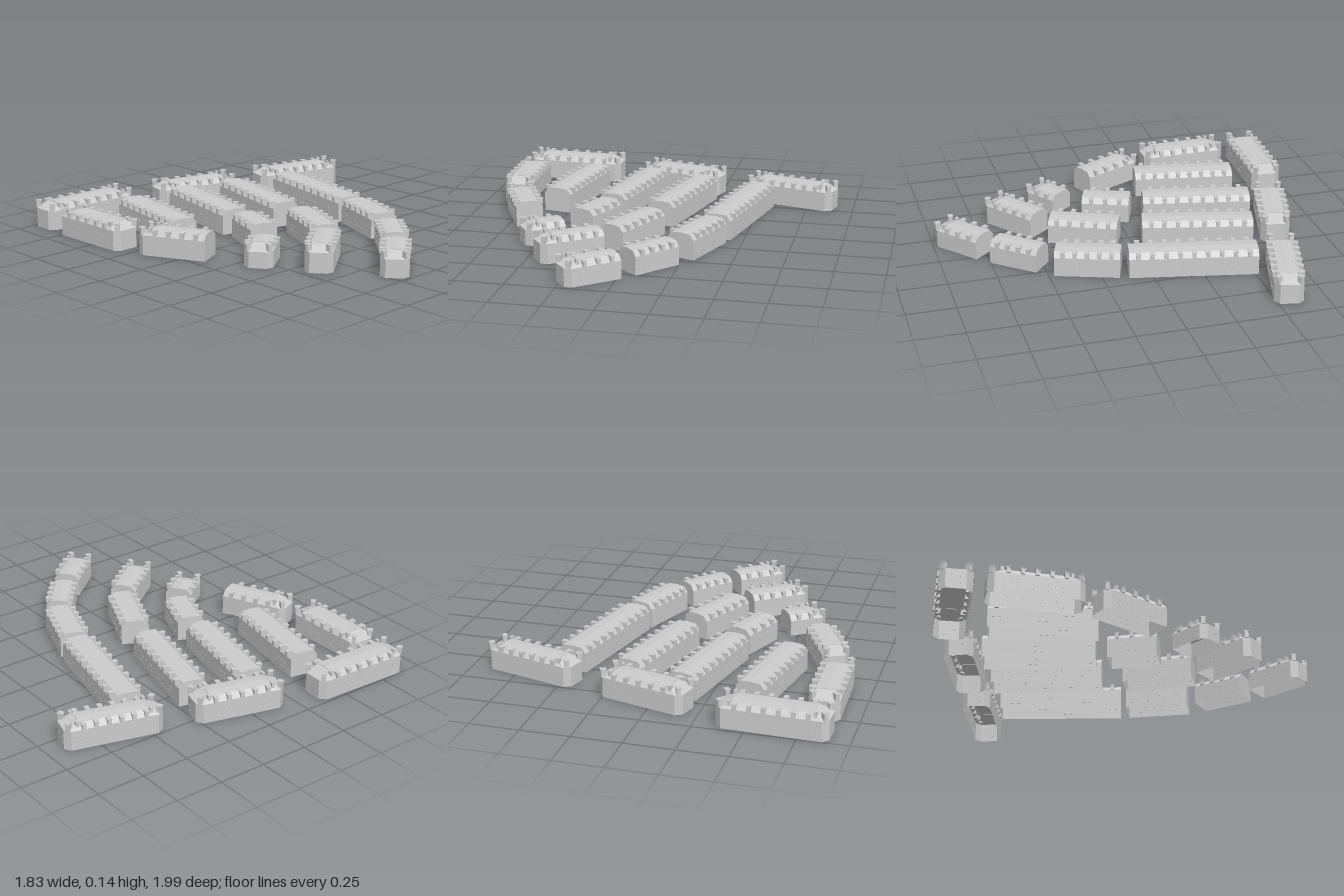
import * as THREE from 'three';
import { mergeGeometries } from 'three/addons/utils/BufferGeometryUtils.js';

// [x1, z1, x2, z2, hipped start, hipped end, half width, wall height]
const BLOCKS = [
  [-0.90, -0.92, -0.36, -0.90, 1, 1, 0.08, 0.102],
  [-0.83, -0.775, -0.82, -0.31, 1, 1, 0.077, 0.102],
  [-0.79, -0.235, -0.635, 0.09, 1, 0, 0.07, 0.102],
  [-0.59, 0.38, -0.42, 0.26, 1, 0, 0.072, 0.082],
  [-0.44, 0.64, -0.175, 0.44, 1, 0, 0.07, 0.102],
  [-0.24, 0.945, -0.02, 0.76, 1, 0, 0.07, 0.092],
  [0.20, 0.51, 0.03, 0.71, 0, 0, 0.067, 0.092],
  [0.35, 0.14, 0.24, 0.45, 0, 0, 0.074, 0.1],
  [0.495, -0.53, 0.36, 0.105, 0, 0, 0.077, 0.1],
  [0.17, -0.62, 0.035, -0.06, 0, 0, 0.074, 0.1],
  [0.02, 0.06, -0.125, 0.39, 0, 0, 0.073, 0.1],
  [-0.125, -0.705, -0.245, -0.145, 0, 0, 0.076, 0.1],
  [-0.245, -0.075, -0.335, 0.16, 0, 0, 0.072, 0.1],
  [-0.465, -0.72, -0.56, -0.19, 0, 0, 0.076, 0.1],
  [-0.195, -0.84, 0.255, -0.72, 1, 1, 0.075, 0.102],
  [0.42, -0.68, 0.90, -0.55, 1, 1, 0.073, 0.102],
];

const material = new THREE.MeshStandardMaterial({ color: 0xcccccc, flatShading: true, side: THREE.DoubleSide });

// Footprint outline in (along, across), canted at hipped ends
function footprint(half, hw, hipA, hipB) {
  const end = (hip) => (hip ? [[half - 0.03, hw], [half, hw * 0.62], [half, -hw * 0.62], [half - 0.03, -hw]] : [[half, hw], [half, -hw]]);
  const right = end(hipB);
  const left = end(hipA).map(([x, z]) => [-x, -z]);
  return [...right, ...left];
}

// Skin stacked rings of equal point count, dropping collapsed triangles
function skin(rings) {
  const pos = [];
  const tri = (a, b, c) => {
    const n = b.clone().sub(a).cross(c.clone().sub(a));
    if (n.length() > 1e-8) [a, b, c].forEach((p) => pos.push(p.x, p.y, p.z));
  };
  for (let r = 0; r < rings.length - 1; r++) {
    const lo = rings[r], hi = rings[r + 1];
    lo.forEach((a, i) => {
      const j = (i + 1) % lo.length;
      tri(a, lo[j], hi[j]);
      tri(a, hi[j], hi[i]);
    });
  }
  const g = new THREE.BufferGeometry();
  g.setAttribute('position', new THREE.Float32BufferAttribute(pos, 3));
  g.computeVertexNormals();
  return g;
}

function box(w, h, d, x, y, z, turn = 0) {
  return new THREE.BoxGeometry(w, h, d).rotateY(turn).translate(x, y, z);
}

function add(group, name, geometries) {
  const mesh = new THREE.Mesh(geometries.length > 1 ? mergeGeometries(geometries) : geometries[0], material);
  mesh.name = name;
  group.add(mesh);
}

function createBlock([x1, z1, x2, z2, hipA, hipB, hw, wall]) {
  const group = new THREE.Group();
  group.name = 'terraceBlock';
  const length = Math.hypot(x2 - x1, z2 - z1);
  const half = length / 2;
  group.position.set((x1 + x2) / 2, 0, (z1 + z2) / 2);
  group.rotation.y = Math.atan2(z1 - z2, x2 - x1);

  // Walls, mansard slope and shallow ridge
  const outline = footprint(half, hw, hipA, hipB);
  const ring = (y, fn = (x, z) => [x, z]) => outline.map(([x, z]) => {
    const [a, b] = fn(x, z);
    return new THREE.Vector3(a, y, b);
  });
  const inset = (x, z) => {
    const hip = x > 0 ? hipB : hipA;
    return [hip ? Math.sign(x) * (half - 0.075) : x, Math.sign(z) * Math.min(Math.abs(z), hw - 0.024)];
  };
  add(group, 'walls', [skin([ring(0), ring(wall)])]);
  add(group, 'mansardRoof', [skin([ring(wall), ring(wall + 0.028, inset), ring(wall + 0.032, (x, z) => [inset(x, z)[0], 0])])]);

  // Dormers and windows along both long sides
  const dormers = [], windows = [];
  const from = -half + (hipA ? 0.06 : 0.012), to = half - (hipB ? 0.06 : 0.012);
  const bays = Math.max(2, Math.round((to - from) / 0.066));
  const step = (to - from) / bays;
  for (const side of [-1, 1]) {
    for (let i = 0; i < bays; i++) {
      const x = from + (i + 0.5) * step;
      dormers.push(box(0.02, 0.026, 0.026, x, wall + 0.014, side * (hw - 0.007)));
      dormers.push(box(0.024, 0.004, 0.032, x, wall + 0.029, side * (hw - 0.008)));
      for (const f of [-0.25, 0.25]) {
        for (const y of [0.3, 0.58]) windows.push(box(0.012, 0.007, 0.002, x + f * step, wall * y, side * hw));
      }
    }
  }

  // Canted ends carry taller corner dormers and extra windows
  for (const [dir, hip] of [[-1, hipA], [1, hipB]]) {
    if (!hip) continue;
    for (const side of [-1, 1]) {
      const turn = -dir * side * 0.8;
      const x = dir * (half - 0.021), z = side * (hw * 0.81 - 0.006);
      dormers.push(box(0.024, 0.034, 0.022, x, wall + 0.017, z, turn));
      dormers.push(box(0.03, 0.005, 0.026, x, wall + 0.036, z, turn));
      dormers.push(box(0.016, 0.036, 0.02, dir * (half - 0.065), wall + 0.02, side * (hw - 0.02)));
      for (const y of [0.3, 0.58]) windows.push(box(0.002, 0.007, 0.012, dir * half, wall * y, side * hw * 0.3));
    }
  }
  add(group, 'dormers', dormers);
  add(group, 'windows', windows);
  return group;
}

export function createModel() {
  const model = new THREE.Group();
  model.name = 'terracedQuarter';
  BLOCKS.forEach((b) => model.add(createBlock(b)));
  return model;
}
